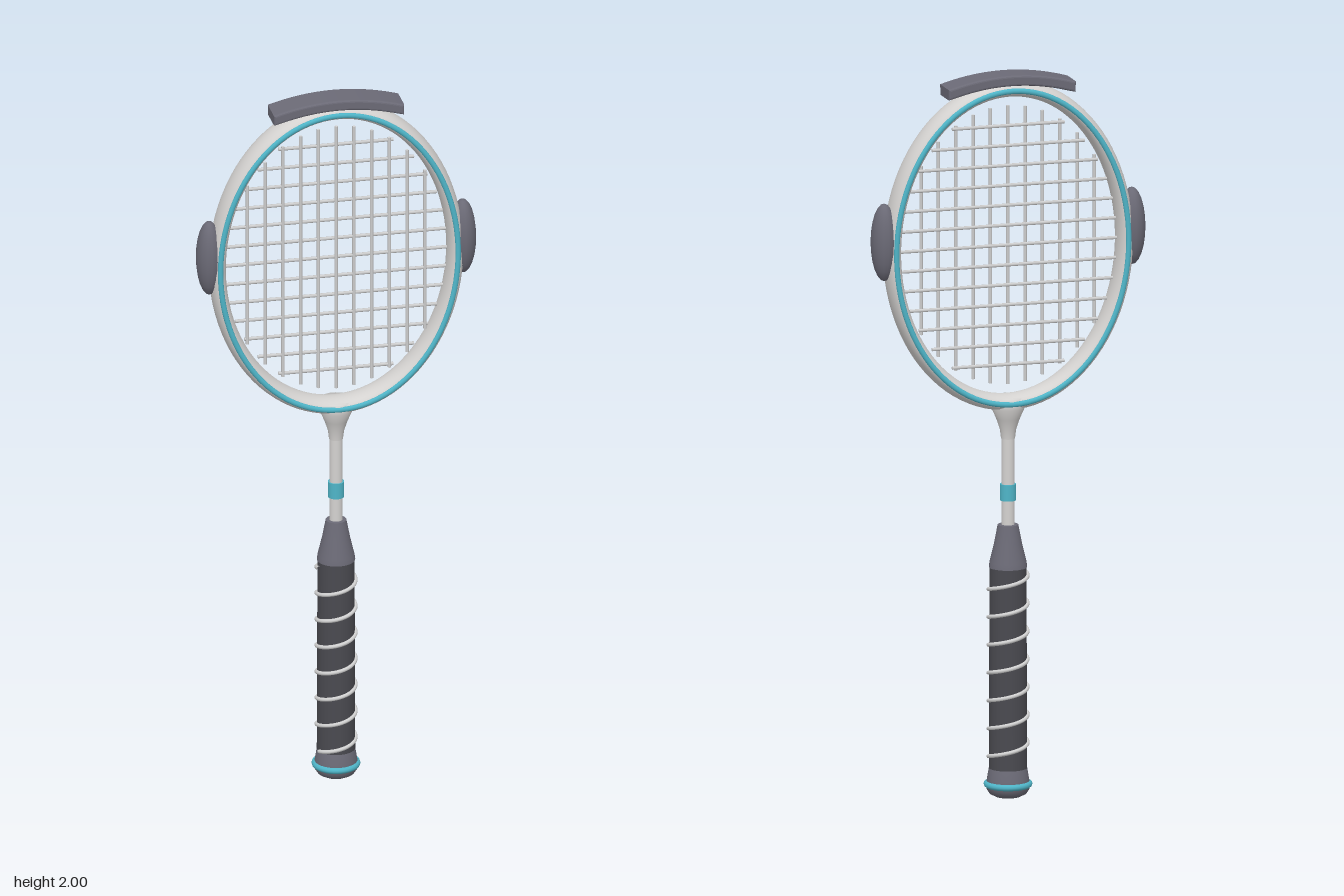
import * as THREE from 'three';
import { ParametricGeometry } from 'three/addons/geometries/ParametricGeometry.js';

const mat = (name, color) => Object.assign(new THREE.MeshStandardMaterial({ color }), { name });

export function createModel() {
  const model = new THREE.Group();
  const white = mat('frameWhite', 0xd4d2d0);
  const gray = mat('slateGray', 0x6b6a76);
  const dark = mat('gripDark', 0x4a4a50);
  const cyan = mat('cyan', 0x4fb5c8);
  const stringMat = mat('stringGray', 0xd0d0d0);

  const add = (name, geo, material, x = 0, y = 0, z = 0, parent = model) => {
    const m = new THREE.Mesh(geo, material);
    m.name = name;
    m.position.set(x, y, z);
    parent.add(m);
    return m;
  };
  const lathe = (pts) => new THREE.LatheGeometry(pts.map(([r, y]) => new THREE.Vector2(r, y)), 32);

  // Oval hoop with an elliptical cross-section
  const hoop = (rx, ry, radial, depth, sides) => new ParametricGeometry((u, v, p) => {
    const a = u * Math.PI * 2, b = v * Math.PI * 2, o = radial * Math.cos(b);
    p.set((rx + o) * Math.cos(a), (ry + o) * Math.sin(a), depth * Math.sin(b));
  }, 96, sides);

  const headY = 1.525;

  // Head frame and its front and back trim rings
  add('headFrame', hoop(0.328, 0.433, 0.022, 0.043, 24), white, 0, headY);
  for (const s of [1, -1])
    add(s > 0 ? 'frontTrim' : 'backTrim', hoop(0.328, 0.433, 0.0075, 0.006, 10), cyan, 0, headY, s * 0.043);

  // Strings, trimmed to an oval
  const strings = new THREE.Group();
  strings.name = 'strings';
  model.add(strings);
  const rx = 0.308, ry = 0.385, r = 0.0048;
  for (let i = -5; i <= 5; i++) {
    const x = i * 0.049, len = 2 * ry * Math.sqrt(1 - (x / rx) ** 2);
    add('mainString', new THREE.CylinderGeometry(r, r, len, 6), stringMat, x, headY, 0.002, strings);
  }
  for (let i = -6; i <= 6; i++) {
    const y = i * 0.055, len = 2 * rx * Math.sqrt(1 - (y / ry) ** 2);
    add('crossString', new THREE.CylinderGeometry(r, r, len, 6), stringMat, 0, headY + y, -0.002, strings)
      .rotation.z = Math.PI / 2;
  }

  // Curved bumper on top of the head
  const arc = new THREE.Shape();
  const w = 0.174;
  arc.moveTo(-w, 1.95);
  arc.quadraticCurveTo(0, 2.004, w, 1.95);
  arc.lineTo(w, 1.968);
  arc.quadraticCurveTo(0, 2.02, -w, 1.968);
  arc.closePath();
  add('topBumper', new THREE.ExtrudeGeometry(arc, {
    depth: 0.074, bevelEnabled: true, bevelThickness: 0.006, bevelSize: 0.006, bevelSegments: 3, curveSegments: 24,
  }), gray, 0, 0, -0.037);

  // Side bumpers
  for (const s of [1, -1]) {
    const geo = new THREE.SphereGeometry(1, 16, 12);
    geo.scale(0.036, 0.107, 0.044);
    add(s > 0 ? 'leftBumper' : 'rightBumper', geo, gray, s * 0.35, 1.555);
  }

  // Throat, shaft and shaft band
  add('throat', lathe([[0.019, 0.99], [0.022, 1.015], [0.032, 1.045], [0.045, 1.075], [0.045, 1.106], [0, 1.106]]), white);
  add('shaft', new THREE.CylinderGeometry(0.018, 0.018, 0.3, 24), white, 0, 0.87);
  add('shaftBand', new THREE.CylinderGeometry(0.022, 0.022, 0.045, 24), cyan, 0, 0.842);

  // Handle: collar, grip, spiral wrap
  add('collar', lathe([[0.052, 0.635], [0.05, 0.65], [0.038, 0.7], [0.028, 0.752]]), gray);
  add('collarTop', lathe([[0.028, 0.752], [0, 0.754]]), gray);
  add('grip', new THREE.CylinderGeometry(0.05, 0.052, 0.57, 32), dark, 0, 0.355);
  const path = [];
  for (let i = 0; i <= 168; i++) {
    const turn = -6.2 + i / 24, a = turn * Math.PI * 2;
    path.push(new THREE.Vector3(0.053 * Math.sin(a), 0.577 + 0.077 * (turn - 0.25), 0.053 * Math.cos(a)));
  }
  add('gripWrap', new THREE.TubeGeometry(new THREE.CatmullRomCurve3(path), 336, 0.0055, 8), stringMat);

  // Butt cap with a ring
  add('buttCap', lathe([[0, 0], [0.035, 0.002], [0.05, 0.01], [0.058, 0.022], [0.06, 0.035],
    [0.057, 0.05], [0.052, 0.08], [0.049, 0.084]]), gray);
  const ring = new THREE.TorusGeometry(0.057, 0.009, 10, 40);
  ring.rotateX(Math.PI / 2);
  add('buttRing', ring, cyan, 0, 0.036);

  return model;
}
